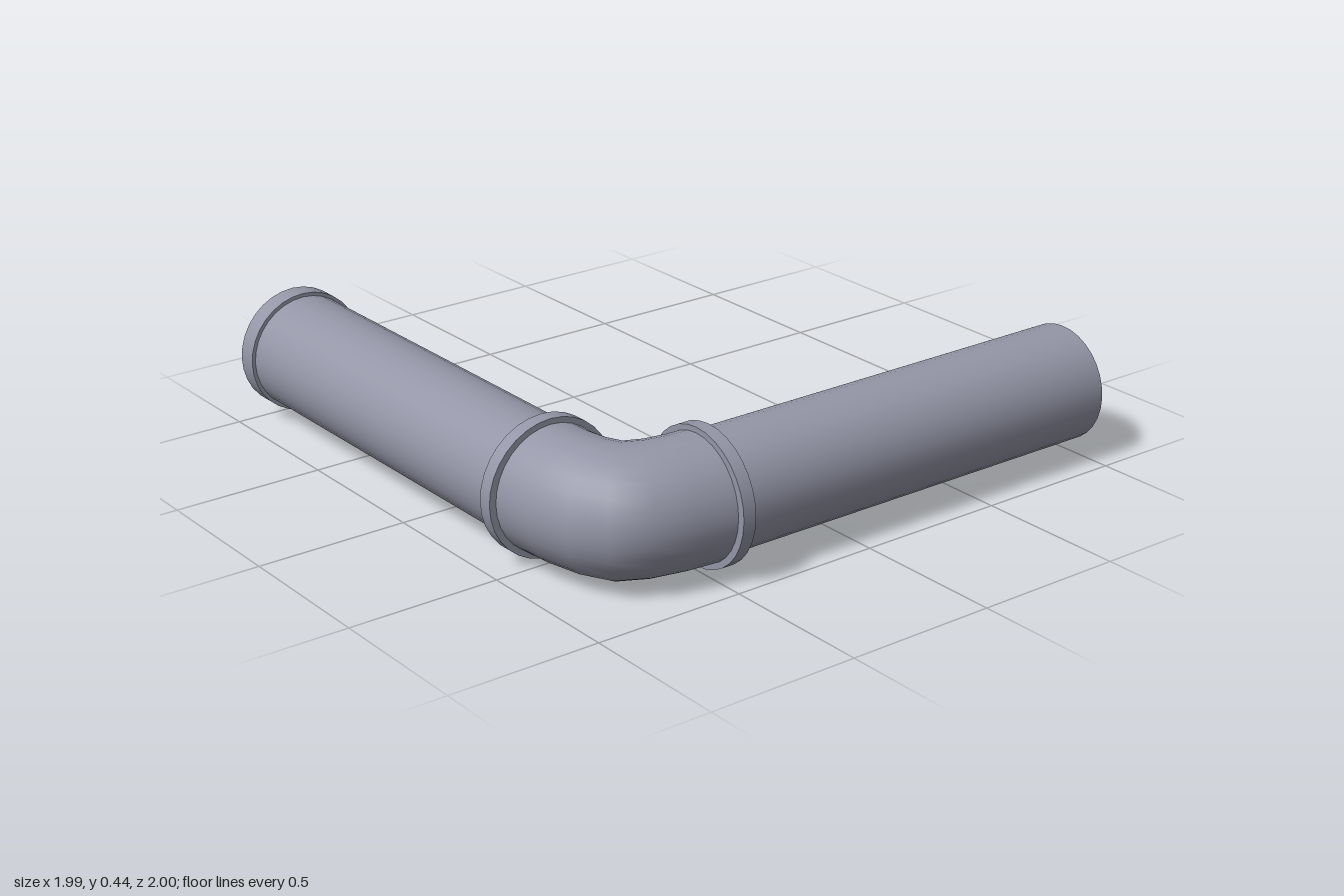
import * as THREE from 'three';

const AXIS = 0.777; // distance of both pipe axes from the centre
const Y = 0.222;    // height of the axes
const SIDES = 32;

export function createModel() {
  const group = new THREE.Group();
  const material = new THREE.MeshStandardMaterial({ color: 0x9496a7 });

  // Capped cylinder along x or z between two coordinates
  function tube(name, axis, from, to, radius) {
    const mesh = new THREE.Mesh(new THREE.CylinderGeometry(radius, radius, to - from, SIDES), material);
    const mid = (from + to) / 2;
    if (axis === 'x') {
      mesh.rotation.z = Math.PI / 2;
      mesh.position.set(mid, Y, AXIS);
    } else {
      mesh.rotation.x = Math.PI / 2;
      mesh.position.set(AXIS, Y, mid);
    }
    mesh.name = name;
    group.add(mesh);
  }

  // Straight pipes, end band and elbow collars
  tube('sidePipe', 'x', -0.98, 0.46, 0.19);
  tube('endBand', 'x', -0.995, -0.927, 0.202);
  tube('sideCollar', 'x', 0.42, 0.468, 0.22);
  tube('backPipe', 'z', -1, 0.46, 0.19);
  tube('backCollar', 'z', 0.437, 0.482, 0.22);

  // Elbow: rings spanning an inner and an outer bend profile, mirrored about the diagonal
  const mirror = (half) => [...half, ...half.slice(0, -1).reverse().map(([x, z]) => [z, x])];
  const inner = mirror([[0.45, 0.58], [0.505, 0.583], [0.545, 0.579], [0.572, 0.572]]);
  const outer = mirror([[0.45, 0.976], [0.605, 0.96], [0.748, 0.927], [0.864, 0.864]]);
  const positions = [];
  const indices = [];
  inner.forEach(([ix, iz], i) => {
    const [ox, oz] = outer[i];
    for (let j = 0; j < SIDES; j++) {
      const a = (j / SIDES) * Math.PI * 2;
      const t = (1 + Math.cos(a)) / 2;
      positions.push(ix + (ox - ix) * t, Y + 0.202 * Math.sin(a), iz + (oz - iz) * t);
      if (i > 0) {
        const k = (j + 1) % SIDES;
        const p = (i - 1) * SIDES;
        const q = i * SIDES;
        indices.push(p + j, q + j, p + k, q + j, q + k, p + k);
      }
    }
  });
  const bend = new THREE.BufferGeometry();
  bend.setAttribute('position', new THREE.Float32BufferAttribute(positions, 3));
  bend.setIndex(indices);
  bend.computeVertexNormals();
  const elbow = new THREE.Mesh(bend, material);
  elbow.name = 'elbow';
  group.add(elbow);

  return group;
}
